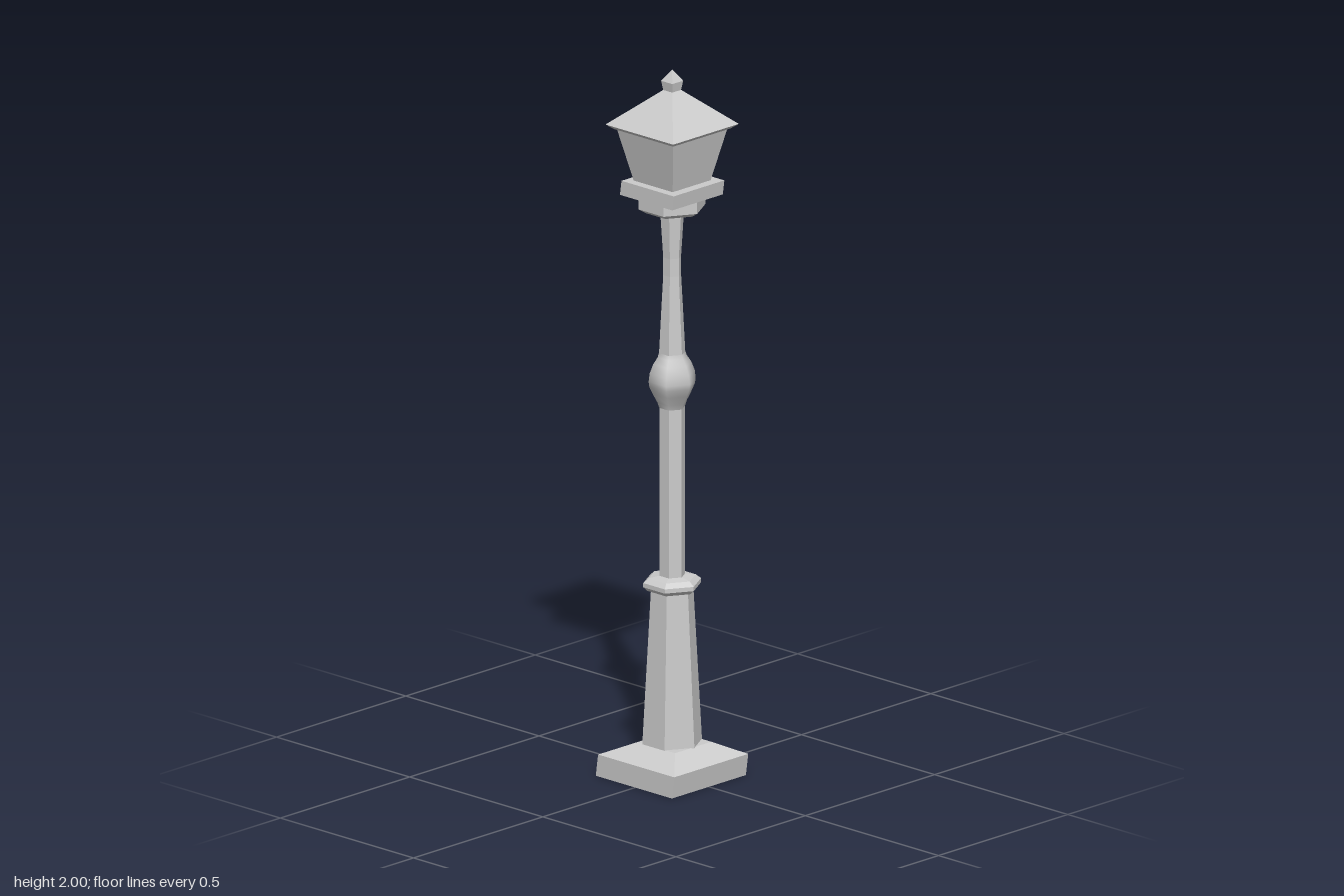
import * as THREE from 'three';

const material = new THREE.MeshStandardMaterial({ color: 0xcccccc });

// Profile [radius, y] turned around the y axis with few sides; flat facets unless smooth.
function turned(name, sides, profile, smooth = false) {
  const points = profile.map(([r, y]) => new THREE.Vector2(r, y));
  const start = sides === 4 ? Math.PI / 4 : 0;
  let geometry = new THREE.LatheGeometry(points, sides, start);
  if (!smooth) {
    geometry = geometry.toNonIndexed();
    geometry.computeVertexNormals();
  }
  const mesh = new THREE.Mesh(geometry, material);
  mesh.name = name;
  return mesh;
}

// Square part: profile gives half widths; lean shifts z with height around a level.
function square(name, profile, lean = 0, level = 0) {
  const mesh = turned(name, 4, profile.map(([half, y]) => [half * Math.SQRT2, y]));
  if (lean) {
    const pos = mesh.geometry.attributes.position;
    for (let i = 0; i < pos.count; i++) {
      pos.setZ(i, pos.getZ(i) + lean * (pos.getY(i) - level));
    }
    mesh.geometry.computeVertexNormals();
  }
  return mesh;
}

export function createModel() {
  const lamp = new THREE.Group();
  lamp.name = 'streetLamp';

  // Square foot with a sloping top
  lamp.add(square('foot', [[0, 0], [0.143, 0], [0.143, 0.062], [0.07, 0.098], [0, 0.098]], 0.14, 0.035));

  // Hexagonal post, corners towards front and back
  lamp.add(turned('pedestal', 6, [[0.084, 0.09], [0.059, 0.54]]));
  lamp.add(turned('collar', 6, [
    [0.055, 0.528], [0.07, 0.53], [0.081, 0.541], [0.081, 0.553], [0.066, 0.565], [0.035, 0.57],
  ]));
  lamp.add(turned('lowerPole', 6, [[0.036, 0.56], [0.036, 1.05]]));
  lamp.add(turned('bulge', 6, [
    [0.036, 1.045], [0.041, 1.06], [0.054, 1.085], [0.064, 1.107], [0.066, 1.122],
    [0.063, 1.145], [0.053, 1.17], [0.041, 1.188], [0.037, 1.2],
  ], true));
  lamp.add(turned('upperPole', 6, [
    [0.037, 1.195], [0.03, 1.33], [0.025, 1.42], [0.025, 1.47], [0.029, 1.53], [0.034, 1.61],
  ]));
  lamp.add(turned('cup', 6, [[0, 1.6], [0.075, 1.6], [0.094, 1.612], [0.094, 1.65], [0, 1.65]]));

  // Square lantern
  lamp.add(square('lanternPlate', [
    [0, 1.645], [0.098, 1.645], [0.098, 1.686], [0, 1.686],
  ], 0.14, 1.665));
  lamp.add(square('lanternBody', [[0.072, 1.68], [0.107, 1.84]]));
  lamp.add(square('roof', [
    [0, 1.832], [0.111, 1.832], [0.127, 1.845], [0.016, 1.943], [0, 1.943],
  ]));
  lamp.add(square('finial', [[0.016, 1.935], [0.021, 1.968], [0, 2]]));

  return lamp;
}
